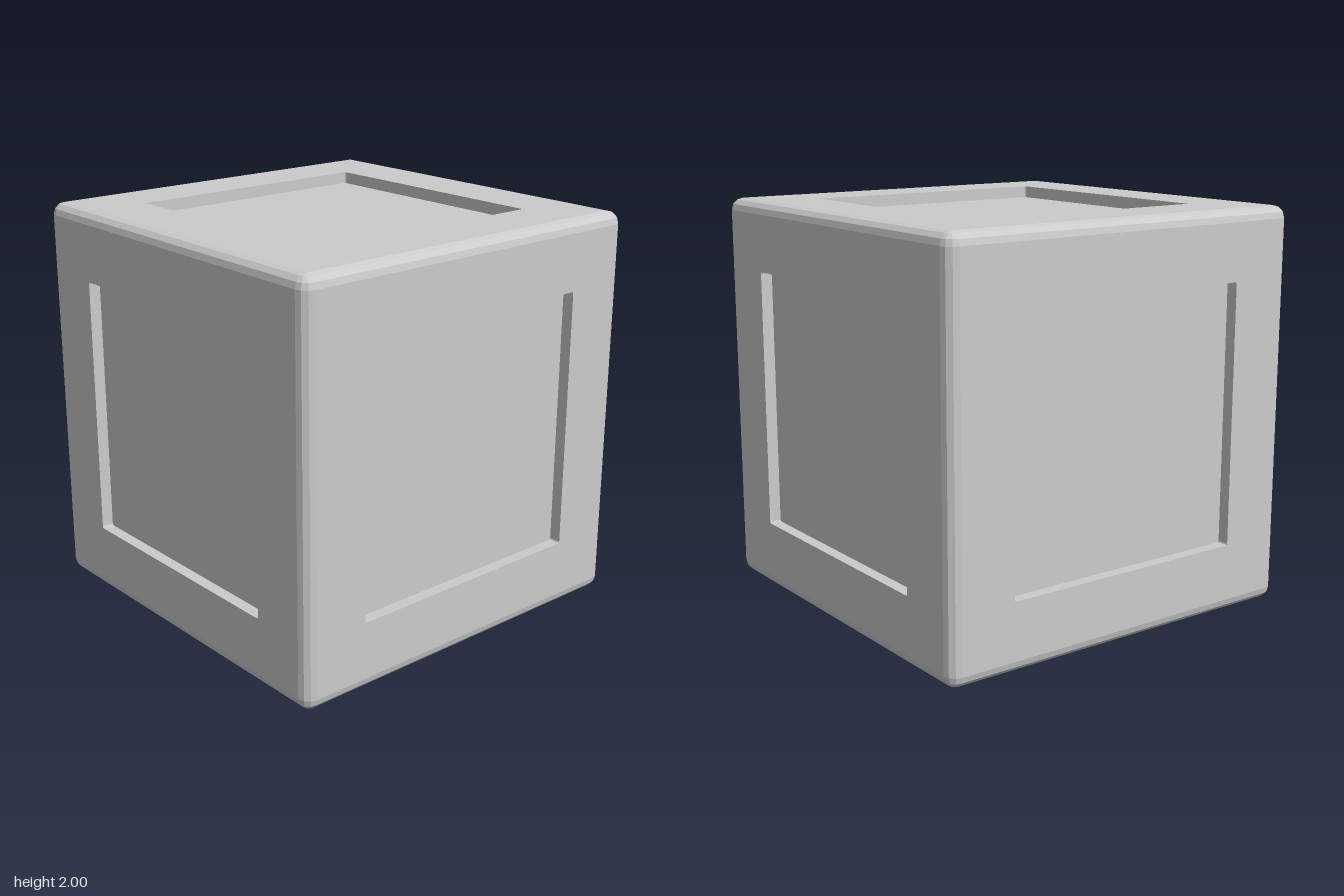
import * as THREE from 'three';

const HALF = 1;        // half the cube's side
const R = 0.06;        // rounding of edges and corners
const FLAT = HALF - R; // half width of each flat face
const OPEN = 0.655;    // half width of the recess opening
const DEPTH = 0.06;    // recess depth
const SEG = 3;         // segments per rounding
const Q = Math.PI / 2;

function squarePath(path, h, c = 0) {
  path.moveTo(-h + c, -h);
  path.lineTo(h - c, -h);
  if (c) path.quadraticCurveTo(h, -h, h, -h + c);
  path.lineTo(h, h - c);
  if (c) path.quadraticCurveTo(h, h, h - c, h);
  path.lineTo(-h + c, h);
  if (c) path.quadraticCurveTo(-h, h, -h, h - c);
  path.lineTo(-h, -h + c);
  if (c) path.quadraticCurveTo(-h, -h, -h + c, -h);
  return path;
}

export function createModel() {
  const material = new THREE.MeshStandardMaterial({ color: 0xcccccc, flatShading: true });
  const model = new THREE.Group();
  model.name = 'recessedCube';
  const body = new THREE.Group();
  body.name = 'body';
  body.position.y = HALF;
  model.add(body);

  const add = (parent, name, geometry, rx = 0, ry = 0, rz = 0) => {
    const mesh = new THREE.Mesh(geometry, material);
    mesh.name = name;
    mesh.rotation.set(rx, ry, rz);
    parent.add(mesh);
    return mesh;
  };

  // Six faces: a square frame around a sunken panel
  const outline = squarePath(new THREE.Shape(), FLAT);
  outline.holes.push(squarePath(new THREE.Path(), OPEN, 0.01));
  const frame = new THREE.ExtrudeGeometry(outline, { depth: DEPTH, bevelEnabled: false, curveSegments: 2 });
  frame.translate(0, 0, HALF - DEPTH);
  const panel = new THREE.PlaneGeometry(2 * OPEN, 2 * OPEN).translate(0, 0, HALF - DEPTH);
  const faces = {
    front: [0, 0], left: [0, Q], back: [0, 2 * Q], right: [0, -Q], top: [-Q, 0], bottom: [Q, 0],
  };
  for (const [side, [rx, ry]] of Object.entries(faces)) {
    add(body, side + 'Frame', frame, rx, ry);
    add(body, side + 'RecessedPanel', panel, rx, ry);
  }

  // Twelve rounded edges: four along each axis
  const edge = new THREE.CylinderGeometry(R, R, 2 * FLAT, SEG, 1, true, 0, Q).translate(FLAT, 0, FLAT);
  for (const [axis, rx, rz] of [['vertical', 0, 0], ['depth', Q, 0], ['width', 0, Q]]) {
    const edges = new THREE.Group();
    edges.name = axis + 'Edges';
    edges.rotation.set(rx, 0, rz);
    for (let i = 0; i < 4; i++) add(edges, 'roundedEdge', edge, 0, i * Q);
    body.add(edges);
  }

  // Eight rounded corners: four on top, four below
  const corner = new THREE.SphereGeometry(R, SEG, SEG, Q, Q, 0, Q).translate(FLAT, FLAT, FLAT);
  for (const [name, rx] of [['topCorners', 0], ['bottomCorners', Math.PI]]) {
    const corners = new THREE.Group();
    corners.name = name;
    corners.rotation.x = rx;
    for (let i = 0; i < 4; i++) add(corners, 'roundedCorner', corner, 0, i * Q);
    body.add(corners);
  }

  return model;
}
